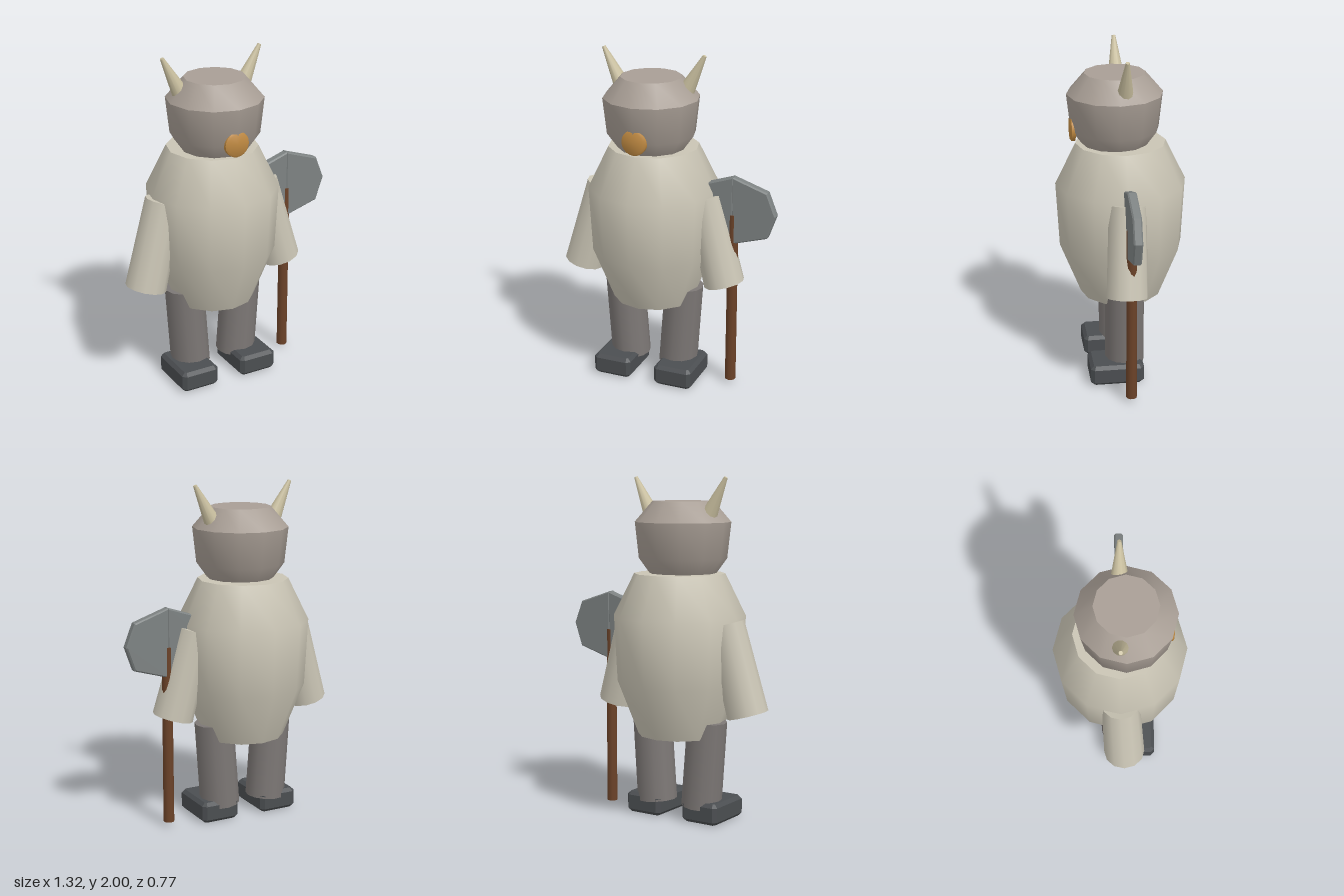
import * as THREE from 'three';
import { toCreasedNormals } from 'three/addons/utils/BufferGeometryUtils.js';

const CX = -0.095; // centre line of the figure; the axe sits off to its left
const mat = (color, flatShading = false) => new THREE.MeshStandardMaterial({ color, flatShading });
const HIDE = mat(0xc9c4b4), FACE = mat(0xa89e95), TROUSER = mat(0x7c7775), BOOT = mat(0x4b4e51, true);
const HORN = mat(0xc9bf9f), MUZZLE = mat(0xc08a42), WOOD = mat(0x6b4228), STEEL = mat(0x7d8282, true);

export function createModel() {
  const model = new THREE.Group();

  const add = (name, geometry, material) => {
    const mesh = new THREE.Mesh(geometry, material);
    mesh.name = name;
    model.add(mesh);
    return mesh;
  };

  // Turned solid from [radius, height] pairs, bottom to top
  const turned = (name, profile, material, sides) => add(name, toCreasedNormals(
    new THREE.LatheGeometry(profile.map(p => new THREE.Vector2(...p)), sides), 0.75), material);

  // Tapered cylinder from point a (radius ra) up to point b (radius rb)
  const limb = (name, a, b, ra, rb, material, sides = 12) => {
    const from = new THREE.Vector3(...a), to = new THREE.Vector3(...b);
    const axis = to.clone().sub(from);
    const mesh = add(name, new THREE.CylinderGeometry(rb, ra, axis.length(), sides), material);
    mesh.position.copy(from).add(to).multiplyScalar(0.5);
    mesh.quaternion.setFromUnitVectors(new THREE.Vector3(0, 1, 0), axis.normalize());
    return mesh;
  };

  // Chamfered plate; the outline is the inner shape that the bevel grows from
  const plate = (points, depth, bevel) => new THREE.ExtrudeGeometry(
    new THREE.Shape(points.map(p => new THREE.Vector2(...p))),
    { depth: depth - 2 * bevel, bevelEnabled: true, bevelThickness: bevel, bevelSize: bevel, bevelOffset: -bevel, bevelSegments: 1 },
  ).translate(0, 0, bevel - depth / 2);

  // Torso and head
  turned('body', [[0, 0.5], [0.243, 0.5], [0.365, 0.81], [0.385, 1.2], [0.265, 1.445], [0, 1.445]], HIDE, 12)
    .position.x = CX;
  turned('head', [[0, 1.43], [0.185, 1.43], [0.257, 1.53], [0.28, 1.74], [0.177, 1.86], [0, 1.86]], FACE, 12)
    .position.set(CX, 0, 0.033);

  // Round muzzle plate set into the front of the head
  const muzzle = turned('muzzle', [[0, -0.03], [0.074, -0.03], [0.074, -0.008], [0.062, 0], [0, 0.001]], MUZZLE, 20);
  muzzle.rotation.x = Math.PI / 2;
  muzzle.position.set(CX, 1.535, 0.296);

  // Paired parts
  for (const [side, s] of [['left', 1], ['right', -1]]) {
    const x = d => CX + s * d;
    limb(side + 'Horn', [x(0.185), 1.755, 0], [x(0.309), 1.995, 0], 0.053, 0.011, HORN, 10);
    limb(side + 'Arm', [x(0.453), 0.654, 0.02], [x(0.315), 1.167, 0], 0.12, 0.108, HIDE);
    limb(side + 'Leg', [x(0.156), 0.086, -0.002], [x(0.193), 0.597, 0], 0.118, 0.116, TROUSER);

    // Boot: a block with cut corners, laid flat
    const w = 0.119, l = 0.161, c = 0.022;
    const outline = [[-w + c, -l], [w - c, -l], [w, -l + c], [w, l - c], [w - c, l], [-w + c, l], [-w, l - c], [-w, -l + c]];
    const boot = add(side + 'Boot', plate(outline, 0.125, 0.02), BOOT);
    boot.rotation.x = -Math.PI / 2;
    boot.position.set(x(0.196), 0.0655, 0.056);
  }

  // Double axe: handle and two mirrored blade halves
  limb('axeHandle', [0.4, 0.025, 0], [0.4, 1.085, 0], 0.032, 0.03, WOOD, 10);
  const half = [[0, -0.205], [0.215, -0.14], [0.264, 0], [0.21, 0.135], [0, 0.205]];
  for (const s of [1, -1]) {
    const points = half.map(([px, py]) => [s * px, py]);
    add(s > 0 ? 'axeOuterBlade' : 'axeInnerBlade', plate(points, 0.052, 0.008), STEEL)
      .position.set(0.4 - s * 0.003, 1.11, 0);
  }

  return model;
}
